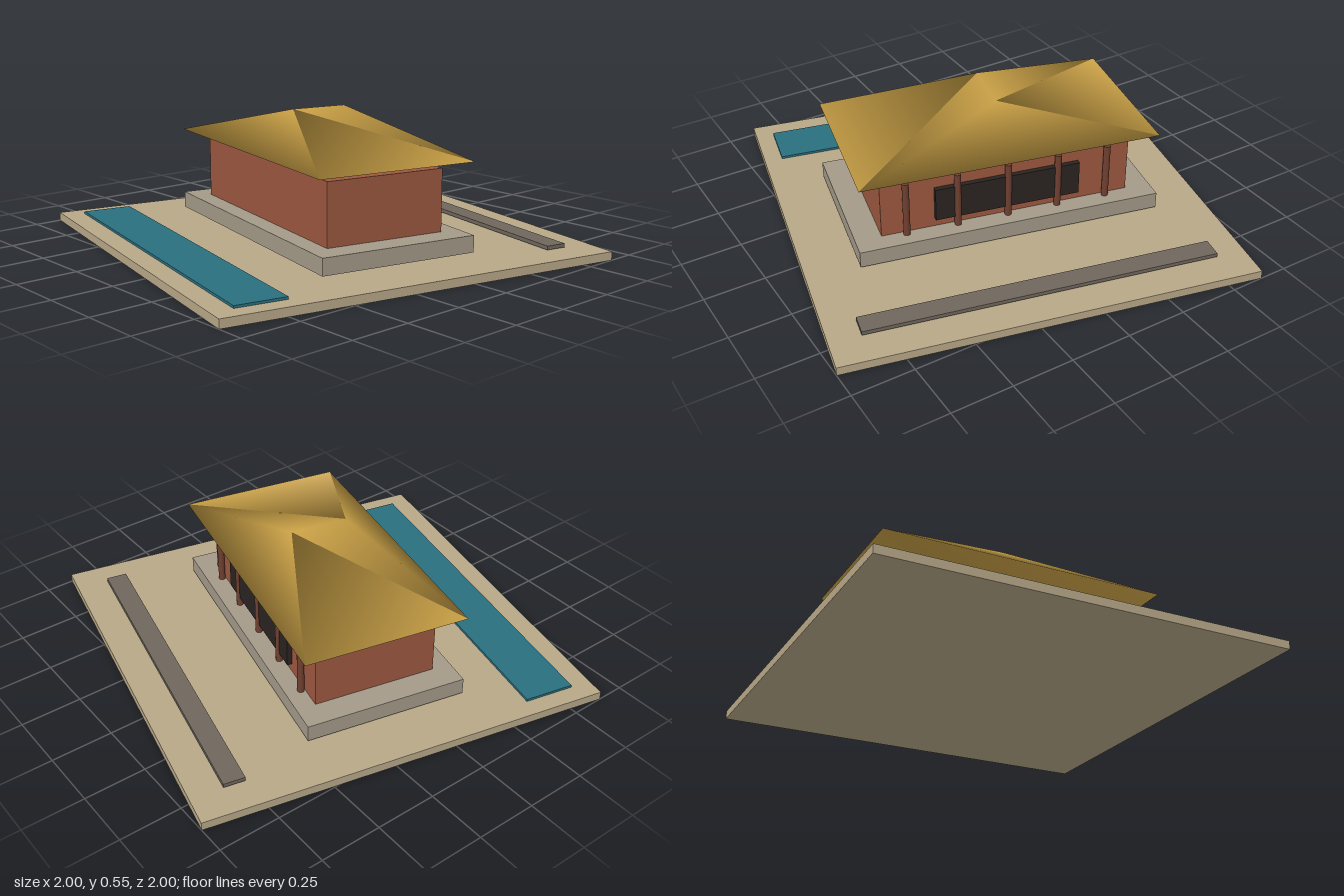
import * as THREE from 'three';

const mat = (color) => new THREE.MeshStandardMaterial({ color });

// Box given by its width, depth, bottom, top and z position
function block(name, color, w, d, y0, y1, z = 0) {
  const mesh = new THREE.Mesh(new THREE.BoxGeometry(w, y1 - y0, d), mat(color));
  mesh.position.set(0, (y0 + y1) / 2, z);
  mesh.name = name;
  return mesh;
}

// Closed hip roof whose short ridge runs front to back, with shared smooth normals
function hipRoof(a, b, r, y0, y1) {
  const geo = new THREE.BufferGeometry();
  geo.setAttribute('position', new THREE.Float32BufferAttribute([
    -a, y0, -b, a, y0, -b, a, y0, b, -a, y0, b, // eaves
    0, y1, -r, 0, y1, r, // ridge
  ], 3));
  geo.setIndex([
    3, 2, 5, // front
    1, 0, 4, // back
    2, 1, 5, 1, 4, 5, // left side
    0, 3, 4, 3, 5, 4, // right side
    0, 1, 3, 1, 2, 3, // underside
  ]);
  geo.computeVertexNormals();
  return geo;
}

export function createModel() {
  const model = new THREE.Group();
  model.name = 'pavilion';
  // The whole site is turned on its plot
  model.rotation.y = -0.2196;

  // Ground, pool, path and building mass
  model.add(
    block('groundSlab', 0xb8a888, 1.675, 1.675, 0, 0.035),
    block('pool', 0x2a6f7f, 1.525, 0.207, 0.033, 0.045, 0.646),
    block('path', 0x6f675c, 1.424, 0.086, 0.04, 0.056, -0.663),
    block('plinth', 0xa39a88, 1.246, 0.665, 0.048, 0.116),
    block('hallWalls', 0x9c5840, 1.034, 0.507, 0.116, 0.367),
    block('screen', 0x2a2420, 0.6, 0.023, 0.155, 0.297, -0.263),
  );

  // Row of columns along the back
  const columnGeo = new THREE.CylinderGeometry(0.014, 0.014, 0.236, 12);
  const columnMat = mat(0x6f4030);
  for (let i = -2; i <= 2; i++) {
    const column = new THREE.Mesh(columnGeo, columnMat);
    column.position.set(i * 0.209, 0.234, -0.27);
    column.name = 'column';
    model.add(column);
  }

  // Roof, hovering above the walls
  const roof = new THREE.Mesh(hipRoof(0.613, 0.338, 0.118, 0.4, 0.554), mat(0xc9a045));
  roof.name = 'roof';
  model.add(roof);

  const root = new THREE.Group();
  root.add(model);
  return root;
}
